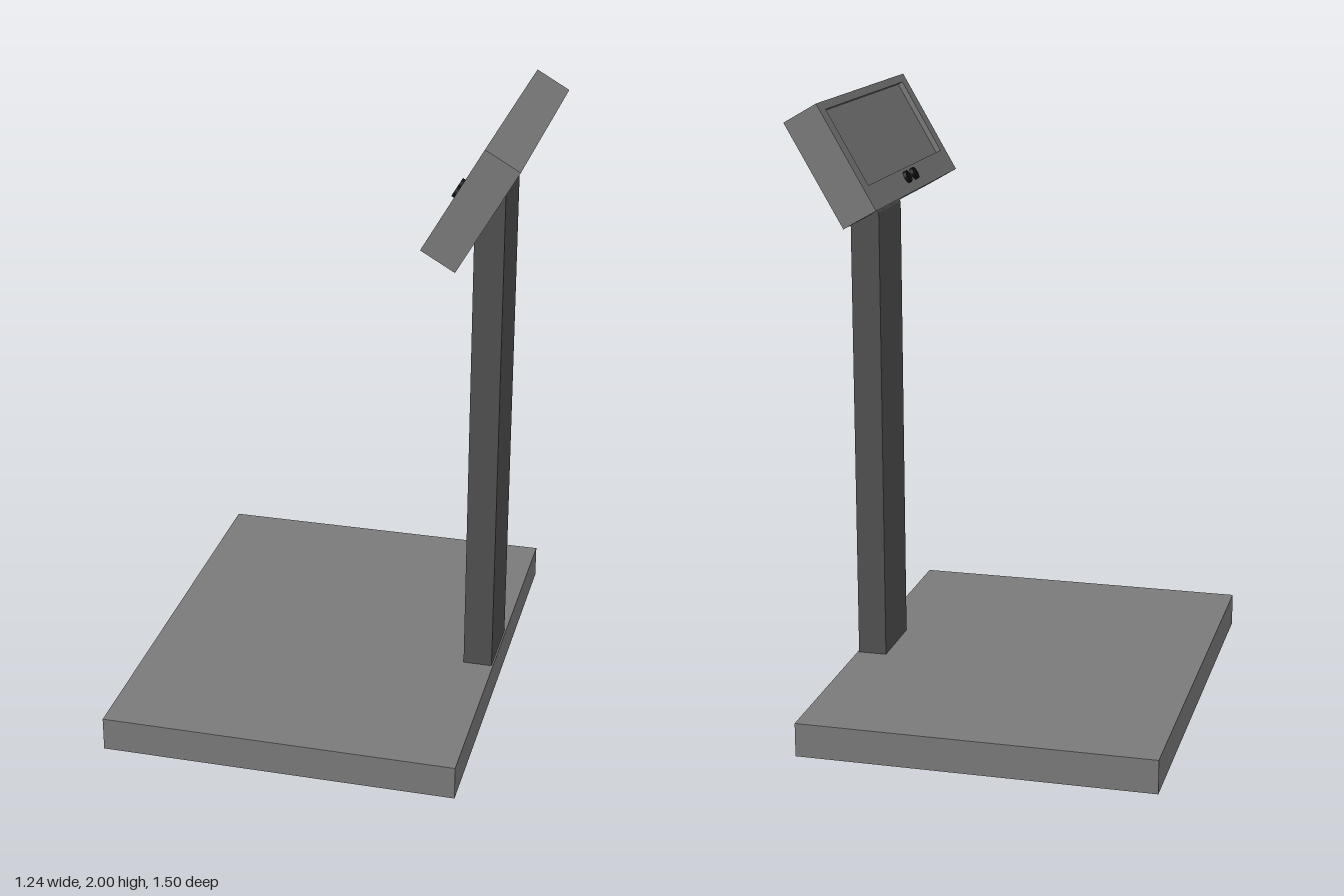
import * as THREE from 'three';

const grey = new THREE.MeshStandardMaterial({ color: 0x7a7a7a });
const dark = new THREE.MeshStandardMaterial({ color: 0x505050 });
const black = new THREE.MeshStandardMaterial({ color: 0x111111 });

function add(parent, name, geometry, material, x = 0, y = 0, z = 0) {
  const mesh = new THREE.Mesh(geometry, material);
  mesh.name = name;
  mesh.position.set(x, y, z);
  parent.add(mesh);
  return mesh;
}

// Closed outline through the given [x, y] points
const outline = (points) => points.map(([x, y]) => new THREE.Vector2(x, y));
const rect = (x0, x1, h) => outline([[x0, -h], [x1, -h], [x1, h], [x0, h]]);

export function createModel() {
  const model = new THREE.Group();
  model.name = 'displayStand';

  // Floor plate
  add(model, 'base', new THREE.BoxGeometry(1.15, 0.11, 1.5), grey, -0.05, 0.055, 0);

  // Upright post, its top cut to the slope of the head
  const side = new THREE.Shape(outline([[0.425, 0.11], [0.52, 0.11], [0.52, 1.775], [0.425, 1.615]]));
  const postGeometry = new THREE.ExtrudeGeometry(side, { depth: 0.24, bevelEnabled: false });
  add(model, 'post', postGeometry, dark, 0, 0, -0.12);

  // Tilted head: local y points out of the screen, local x runs up it
  const length = 0.37, thickness = 0.122, halfWidth = 0.452, recess = 0.017;
  const head = new THREE.Group();
  head.name = 'head';
  head.position.set(0.4725, 1.81, 0);
  head.rotation.z = Math.PI / 3;
  model.add(head);

  // Solid rear part, whose front is the sunken screen
  add(head, 'headBody', new THREE.BoxGeometry(length, thickness - recess, halfWidth * 2), grey, 0, -recess / 2, 0);

  // Frame around the screen
  const frame = new THREE.Shape(rect(-length / 2, length / 2, halfWidth));
  frame.holes.push(new THREE.Path(rect(-0.105, 0.159, 0.4)));
  const bezel = new THREE.ExtrudeGeometry(frame, { depth: recess, bevelEnabled: false });
  bezel.rotateX(-Math.PI / 2);
  add(head, 'bezel', bezel, grey, 0, thickness / 2 - recess, 0);

  // Two round buttons below the screen
  for (const z of [-0.05, 0.025]) {
    add(head, 'button', new THREE.CylinderGeometry(0.02, 0.02, 0.012, 24), black, -0.135, thickness / 2 + 0.005, z);
  }
  return model;
}
